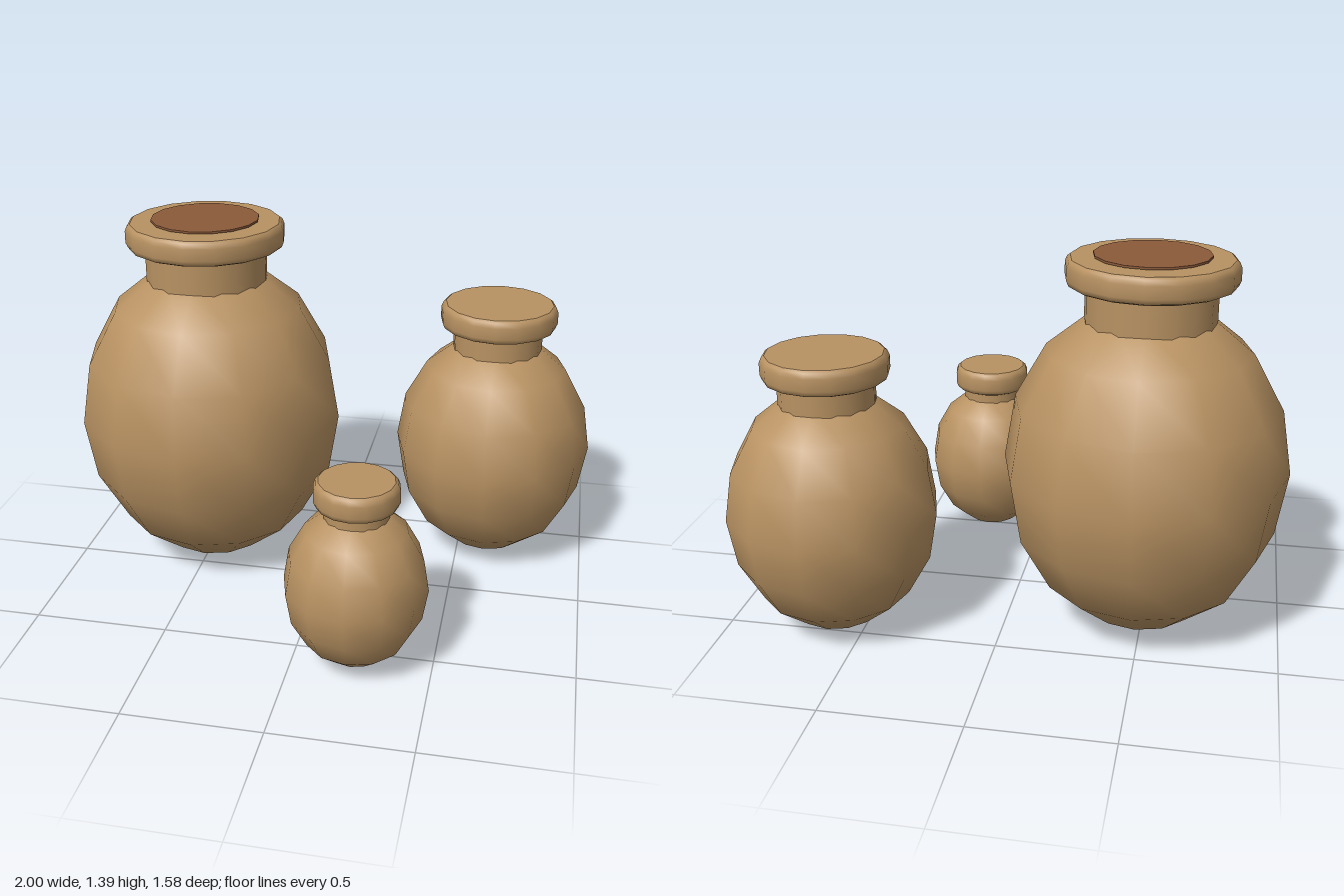
import * as THREE from 'three';

const clay = new THREE.MeshStandardMaterial({ color: 0xb89262 });
clay.name = 'clay';
const darkClay = new THREE.MeshStandardMaterial({ color: 0x8b5a3a });
darkClay.name = 'dark clay';

function addPart(group, name, geometry, y, material = clay) {
  const mesh = new THREE.Mesh(geometry, material);
  mesh.name = name;
  mesh.position.y = y;
  group.add(mesh);
  return mesh;
}

// Rounded band with an open top, closed by a separate flat disc
function lipGeometry(r, h) {
  const b = 0.026;
  const profile = [
    [0, 0], [r - b, 0], [r - b * 0.3, b * 0.3], [r, b],
    [r, h - b], [r - b * 0.3, h - b * 0.3], [r - b * 0.7, h],
  ].map(([x, y]) => new THREE.Vector2(x, y));
  return new THREE.LatheGeometry(profile, 16);
}

function makeJar({ name, x, z, radius, centreY, neckRadius, lipRadius, lipBottom, lipTop }) {
  const jar = new THREE.Group();
  jar.name = name;
  jar.position.set(x, 0, z);

  // Egg-shaped body, one fifth taller than wide
  const body = new THREE.SphereGeometry(radius, 12, 8);
  body.scale(1, 1.2, 1);
  addPart(jar, 'body', body, centreY);

  // Straight neck, sunk into the shoulder
  const neckBottom = centreY + radius * 0.8;
  const neckHeight = lipBottom + 0.02 - neckBottom;
  addPart(jar, 'neck', new THREE.CylinderGeometry(neckRadius, neckRadius, neckHeight, 16, 1, true),
    neckBottom + neckHeight / 2);

  // Lip and its flat top
  addPart(jar, 'lip', lipGeometry(lipRadius, lipTop - lipBottom), lipBottom);
  const top = new THREE.CircleGeometry(lipRadius - 0.018, 16);
  top.rotateX(-Math.PI / 2);
  addPart(jar, 'lipTop', top, lipTop);
  return jar;
}

export function createModel() {
  const model = new THREE.Group();
  model.name = 'clayJars';

  const large = makeJar({
    name: 'largeJar', x: -0.488, z: -0.18, radius: 0.512, centreY: 0.622,
    neckRadius: 0.23, lipRadius: 0.30, lipBottom: 1.286, lipTop: 1.382,
  });
  // Dark mouth of the large jar
  addPart(large, 'mouth', new THREE.CylinderGeometry(0.203, 0.203, 0.008, 16), 1.39, darkClay);

  const medium = makeJar({
    name: 'mediumJar', x: 0.612, z: -0.407, radius: 0.384, centreY: 0.468,
    neckRadius: 0.172, lipRadius: 0.225, lipBottom: 0.957, lipTop: 1.053,
  });
  const small = makeJar({
    name: 'smallJar', x: 0.22, z: 0.532, radius: 0.256, centreY: 0.32,
    neckRadius: 0.114, lipRadius: 0.15, lipBottom: 0.628, lipTop: 0.724,
  });

  model.add(large, medium, small);
  return model;
}
